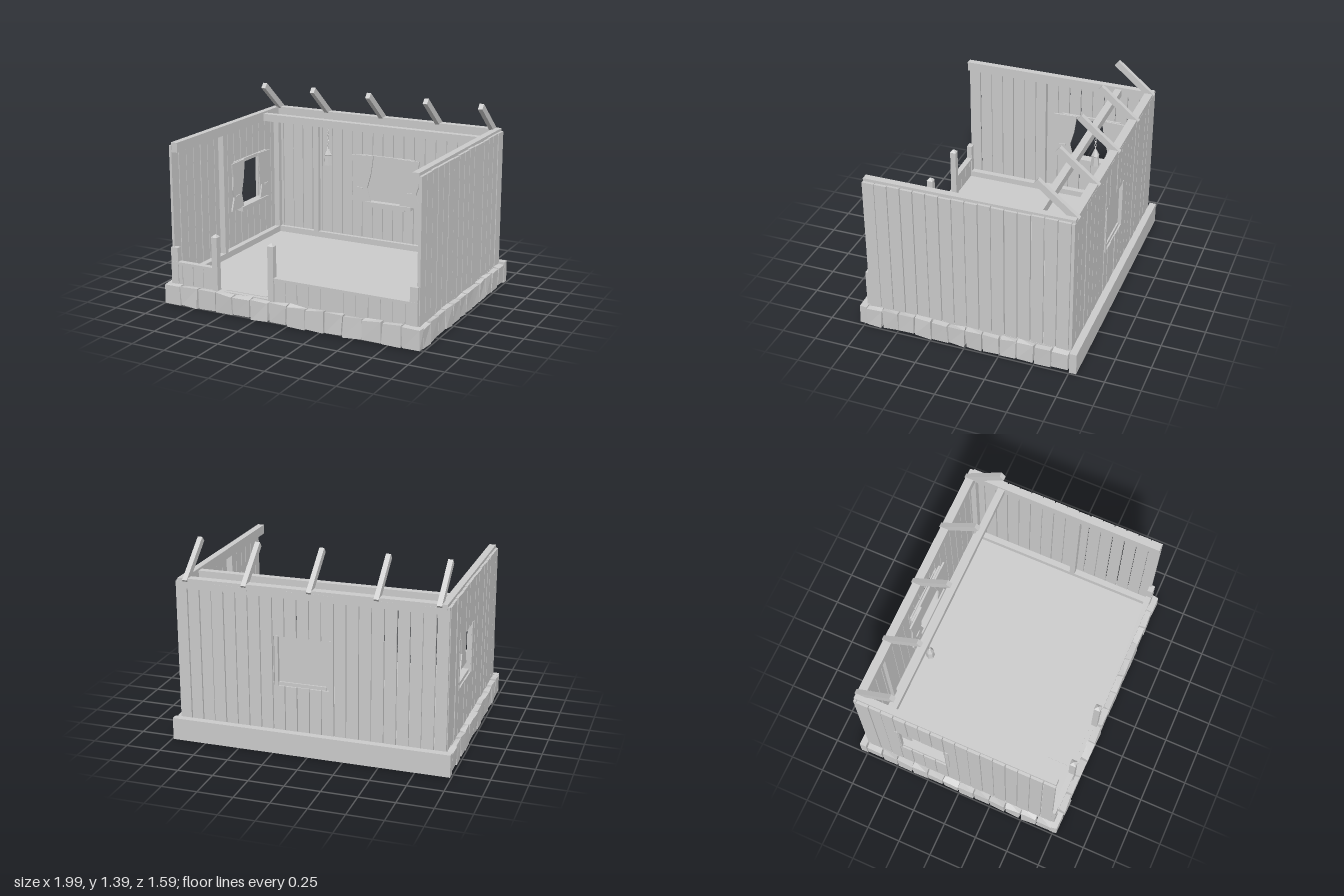
import * as THREE from 'three';

export function createModel() {
  const root = new THREE.Group();
  const grey = new THREE.MeshStandardMaterial({ color: 0xcccccc });
  grey.name = 'pale grey';
  grey.flatShading = true;
  const greyCloth = new THREE.MeshStandardMaterial({ color: 0xcccccc, side: THREE.DoubleSide });
  greyCloth.name = 'pale grey cloth';

  let seed = 11;
  const rnd = (r) => {
    seed = (seed * 16807) % 2147483647;
    return (seed / 2147483647 * 2 - 1) * r;
  };
  const add = (name, geo, parent = root, mat = grey) => {
    const m = new THREE.Mesh(geo, mat);
    m.name = name;
    parent.add(m);
    return m;
  };
  // Box given by its limits on each axis
  const box = (name, x0, x1, y0, y1, z0, z1, parent = root) => {
    const m = add(name, new THREE.BoxGeometry(x1 - x0, y1 - y0, z1 - z0), parent);
    m.position.set((x0 + x1) / 2, (y0 + y1) / 2, (z0 + z1) / 2);
    return m;
  };
  // Rough block: a box whose eight corners are nudged
  const stone = (x0, x1, z0, z1, parent) => {
    const m = box('foundationStone', x0, x1, 0.012, 0.15, z0, z1, parent);
    const p = m.geometry.attributes.position, shift = {};
    for (let i = 0; i < p.count; i++) {
      const key = [p.getX(i) > 0, p.getY(i) > 0, p.getZ(i) > 0].join();
      shift[key] ??= [rnd(0.006), rnd(0.009), rnd(0.006)];
      const s = shift[key];
      p.setXYZ(i, p.getX(i) + s[0], p.getY(i) + s[1], p.getZ(i) + s[2]);
    }
    m.geometry.computeVertexNormals();
  };

  // Floor and foundation
  box('floor', -0.95, 0.95, 0.12, 0.155, -0.75, 0.73);
  box('backSkirtBoard', -0.99, 0.99, 0.001, 0.16, -0.8, -0.75);
  const stones = new THREE.Group();
  stones.name = 'foundationStones';
  root.add(stones);
  for (let i = 0; i < 14; i++) {
    const x = -0.99 + i * 0.1415;
    stone(x + 0.004, x + 0.136, 0.725, 0.78, stones);
  }
  for (const s of [-1, 1]) for (let i = 0; i < 12; i++) {
    const z = -0.745 + i * 0.1235;
    const a = s * 0.94, b = s * 0.99;
    stone(Math.min(a, b), Math.max(a, b), z + 0.004, z + 0.118, stones);
  }

  // Plank wall along local x, inside face at z = 0, optional window opening
  const plankWall = (name, from, to, count, hole) => {
    const g = new THREE.Group();
    g.name = name;
    root.add(g);
    const w = (to - from) / count;
    for (let i = 0; i < count; i++) {
      const a = from + i * w + 0.003, b = a + w - 0.006 + rnd(0.002);
      const top = 1.15 + rnd(0.004), back = -0.02 + rnd(0.002);
      const cuts = [a, b];
      if (hole) cuts.push(...[hole[0], hole[1]].filter((c) => c > a && c < b));
      cuts.sort((p, q) => p - q);
      for (let k = 0; k + 1 < cuts.length; k++) {
        const c = cuts[k], d = cuts[k + 1], mid = (c + d) / 2;
        if (hole && mid > hole[0] && mid < hole[1]) {
          box('plank', c, d, 0.155, 0.48, back, 0, g);
          box('plank', c, d, 0.83, top, back, 0, g);
        } else box('plank', c, d, 0.155, top, back, 0, g);
      }
    }
    return g;
  };
  const backWall = plankWall('backWall', -0.95, 0.95, 22, [-0.15, 0.25]);
  backWall.position.z = -0.73;
  const leftWall = plankWall('windowSideWall', -0.72, 0.73, 16, [0.1, 0.44]);
  leftWall.rotation.y = Math.PI / 2;
  leftWall.position.x = -0.93;
  const rightWall = plankWall('plainSideWall', -0.73, 0.72, 16);
  rightWall.rotation.y = -Math.PI / 2;
  rightWall.position.x = 0.93;

  // Wall framing
  box('backTopBeam', -0.93, 0.93, 1.1, 1.17, -0.75, -0.69);
  box('backBaseboard', -0.9, 0.9, 0.155, 0.2, -0.73, -0.7);
  box('backStud', -0.58, -0.54, 0.155, 1.1, -0.73, -0.7);
  box('tieBeam', -0.9, 0.9, 1.1, 1.155, -0.51, -0.46);
  for (const s of [-1, 1]) {
    const c = s * 0.908;
    box('sideTopBeam', c - 0.024, c + 0.024, 1.1, 1.17, -0.75, 0.715);
    box('sideBaseboard', c - 0.022, c + 0.022, 0.155, 0.2, -0.73, 0.71);
    box('sideStud', c - 0.022, c + 0.022, 0.155, 1.1, 0.08, 0.12);
    box('cornerStud', c - 0.022, c + 0.022, 0.155, 1.1, -0.73, -0.69);
    box('frontCornerPost', s * 0.918 - 0.028, s * 0.918 + 0.028, 0.155, 0.42, 0.7, 0.74);
  }

  // Sloping rafter stubs
  for (const x of [-0.88, -0.463, -0.003, 0.455, 0.876]) {
    const r = add('rafter', new THREE.BoxGeometry(0.034, 0.046, 0.36));
    r.position.set(x, 1.258, -0.608);
    r.rotation.x = -0.69;
  }

  // Window with sill, rod and tied curtains, built in a wall's own frame
  const curtainShape = new THREE.Shape([
    [0.12, 0.5], [0.15, 0.61], [0.12, 0.72], [0.1, 0.865],
    [0.28, 0.86], [0.265, 0.76], [0.275, 0.66], [0.255, 0.6], [0.29, 0.5],
  ].map(([x, y]) => new THREE.Vector2(x, y)));
  const windowSet = (name, x, z, turn, pane) => {
    const g = new THREE.Group();
    g.name = name;
    g.position.set(x, 0, z);
    g.rotation.y = turn;
    root.add(g);
    box('sill', -0.16, 0.22, 0.475, 0.505, -0.01, 0.06, g);
    box('sillBracket', -0.13, 0.16, 0.46, 0.475, 0, 0.045, g);
    box('curtainRod', -0.22, 0.24, 0.84, 0.865, 0.02, 0.035, g);
    if (pane) box('windowPane', -0.2, 0.22, 0.48, 0.84, 0.001, 0.01, g);
    for (const s of [-1, 1]) {
      const c = add('curtain', new THREE.ExtrudeGeometry(curtainShape, { depth: 0.012, bevelEnabled: false }), g, greyCloth);
      c.scale.x = s;
      c.position.z = 0.036;
      const cx = s * 0.21;
      box('curtainTie', cx - 0.025, cx + 0.025, 0.6, 0.612, 0.045, 0.056, g);
      box('windowFrame', s * 0.19 - 0.012, s * 0.19 + 0.012, 0.48, 0.84, -0.025, 0.012, g);
    }
  };
  windowSet('backWindow', 0.04, -0.73, 0, true);
  windowSet('sideWindow', -0.93, -0.27, Math.PI / 2, false);

  // Front fence with a gap for the entrance
  for (const [a, b] of [[-0.945, -0.6], [-0.12, 0.945]]) {
    box('fenceRail', a, b, 0.3, 0.318, 0.7, 0.742);
    const n = Math.round((b - a) / 0.086), w = (b - a) / n;
    for (let i = 0; i < n; i++) {
      box('fencePlank', a + i * w + 0.002, a + (i + 1) * w - 0.002, 0.15, 0.3, 0.71, 0.732 + rnd(0.002));
    }
  }
  for (const x of [-0.585, -0.14]) {
    box('entrancePost', x - 0.022, x + 0.022, 0.15, 0.54, 0.7, 0.744);
    const cap = add('entrancePostCap', new THREE.ConeGeometry(0.033, 0.022, 4));
    cap.rotation.y = Math.PI / 4;
    cap.position.set(x, 0.551, 0.722);
  }
  box('entranceMat', -0.52, -0.2, 0.155, 0.159, 0.5, 0.7);

  // Hanging lantern
  const lantern = new THREE.Group();
  lantern.name = 'lantern';
  lantern.position.set(-0.342, 0, -0.485);
  root.add(lantern);
  const body = add('lanternBody', new THREE.LatheGeometry(
    [[0, 0.81], [0.032, 0.81], [0.026, 0.885], [0.03, 0.89], [0.009, 0.935], [0, 0.94]].map(([x, y]) => new THREE.Vector2(x, y)), 6), lantern);
  body.rotation.y = Math.PI / 6;
  for (let i = 0; i < 8; i++) {
    const link = add('chainLink', new THREE.TorusGeometry(0.008, 0.002, 4, 8), lantern);
    link.scale.y = 1.5;
    link.position.y = 0.95 + i * 0.02;
    link.rotation.y = (i % 2) * Math.PI / 2;
  }
  return root;
}
